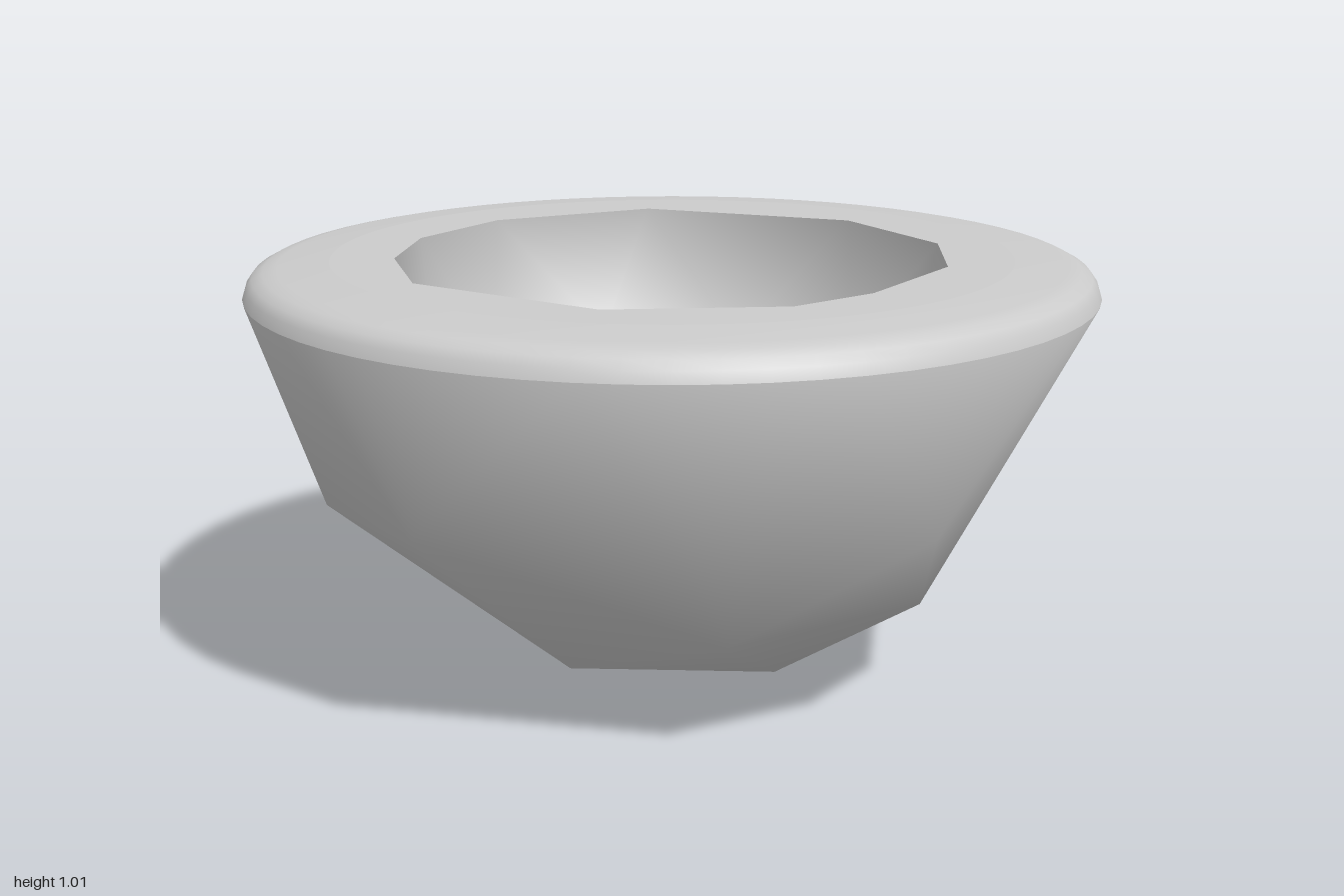
import * as THREE from 'three';
import { ConvexGeometry } from 'three/addons/geometries/ConvexGeometry.js';

const SEGMENTS = 64;
const RIM_RADIUS = 1, RIM_Y = 0.945;
const FLAT_RADIUS = 0.8, TOP_Y = 1.019;
const HOLLOW_RADIUS = 0.63;

// Point of the lower half of a sphere centred at y = 1, above a given x, z
function onSphere([x, z], radius) {
  return new THREE.Vector3(x, 1 - Math.sqrt(Math.max(0, radius * radius - x * x - z * z)), z);
}

// Faceted shell around the points, open at the top, with smooth radial normals
function openShell(points, topY, inward) {
  const source = new ConvexGeometry(points).attributes.position;
  const positions = [], normals = [];
  const n = new THREE.Vector3();
  for (let i = 0; i < source.count; i += 3) {
    const tri = [0, 1, 2].map(k => new THREE.Vector3().fromBufferAttribute(source, i + k));
    if (tri.every(p => p.y > topY - 1e-4)) continue;
    if (inward) tri.reverse();
    for (const p of tri) {
      positions.push(p.x, p.y, p.z);
      n.set(p.x, p.y - 1, p.z).normalize().multiplyScalar(inward ? -1 : 1);
      normals.push(n.x, n.y, n.z);
    }
  }
  const geometry = new THREE.BufferGeometry();
  geometry.setAttribute('position', new THREE.Float32BufferAttribute(positions, 3));
  geometry.setAttribute('normal', new THREE.Float32BufferAttribute(normals, 3));
  return geometry;
}

export function createModel() {
  const group = new THREE.Group();
  group.name = 'bowl';
  const material = new THREE.MeshStandardMaterial({ color: 0xcccccc, side: THREE.DoubleSide });
  const add = (name, geometry) => {
    const mesh = new THREE.Mesh(geometry, material);
    mesh.name = name;
    group.add(mesh);
  };

  // Outer wall: round at the rim, a few uneven facets below
  const outer = [
    [0.865, 0.17], [-0.955, 0.08], [-0.84, 0.26], [-0.53, 0.64], [0.01, 0.88], [-0.75, -0.48], [0.07, -0.78],
    [0.6, -0.19], [0.53, 0.46], [0.15, 0.54], [-0.56, 0], [-0.51, -0.28], [-0.29, -0.57],
    [0.37, 0.07], [0, -0.3], [-0.2, 0.24],
    [0.1, 0], [-0.1, 0], [0, 0.1], [0, -0.1],
  ].map(p => onSphere(p, 1));
  for (let i = 0; i < SEGMENTS; i++) {
    const a = i / SEGMENTS * Math.PI * 2;
    outer.push(new THREE.Vector3(RIM_RADIUS * Math.sin(a), RIM_Y, RIM_RADIUS * Math.cos(a)));
  }
  add('outerWall', openShell(outer, RIM_Y, false));

  // Rounded rim edge, easing into the flat top
  const rim = [[RIM_RADIUS, RIM_Y], [0.992, 0.97], [0.978, 0.99], [0.953, 1.003], [0.92, 1.01], [FLAT_RADIUS, TOP_Y]];
  add('rimEdge', new THREE.LatheGeometry(rim.map(p => new THREE.Vector2(...p)), SEGMENTS));

  // Flat top with an uneven opening
  const lip = [
    [0.06, -0.64], [0.42, -0.5], [0.6, -0.26], [0.64, 0.1], [0.59, 0.32],
    [0.3, 0.6], [-0.2, 0.65], [-0.45, 0.47], [-0.6, 0.24], [-0.64, -0.07], [-0.46, -0.46],
  ];
  const top = new THREE.Shape();
  top.absarc(0, 0, FLAT_RADIUS, 0, Math.PI * 2);
  top.holes.push(new THREE.Path(lip.map(([x, z]) => new THREE.Vector2(x, -z))));
  const topGeometry = new THREE.ShapeGeometry(top, SEGMENTS);
  topGeometry.rotateX(-Math.PI / 2);
  topGeometry.translate(0, TOP_Y, 0);
  add('rimTop', topGeometry);

  // Hollow: rings of points on a smaller sphere below the lip
  const hollow = lip.map(([x, z]) => new THREE.Vector3(x, TOP_Y, z));
  for (const [radius, count] of [[0.56, 10], [0.42, 8], [0.22, 6], [0, 1]]) {
    for (let i = 0; i < count; i++) {
      const a = i / count * Math.PI * 2 + radius;
      hollow.push(onSphere([radius * Math.cos(a), radius * Math.sin(a)], HOLLOW_RADIUS));
    }
  }
  add('hollow', openShell(hollow, TOP_Y, true));
  return group;
}
